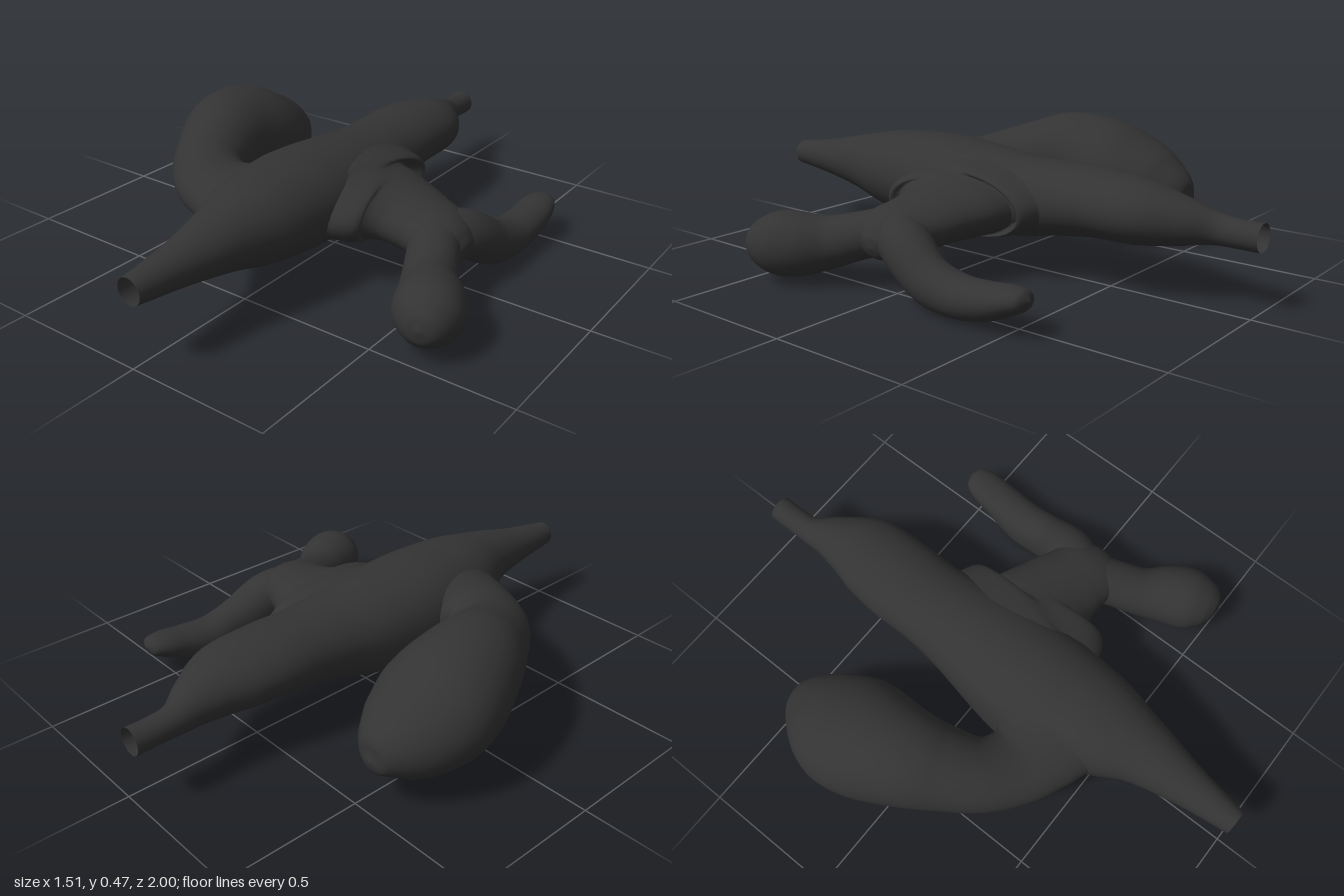
import * as THREE from 'three';

const darkGrey = new THREE.MeshStandardMaterial({ color: 0x333333, side: THREE.DoubleSide });
darkGrey.name = 'darkGrey';

// Lofts a smooth tube through oval rings: [x, y, z, half width, half height, keel].
// The keel pulls the lower corner of a ring outwards.
function loft(name, rings, steps, sides = 36) {
  const path = new THREE.CatmullRomCurve3(rings.map(r => new THREE.Vector3(r[0], r[1], r[2])));
  const size = new THREE.CatmullRomCurve3(
    rings.map(r => new THREE.Vector3(r[3], r[4], r[5] || 0)), false, 'catmullrom', 0.5);
  const up = new THREE.Vector3(0, 1, 0);
  const positions = [];
  const index = [];
  for (let i = 0; i <= steps; i++) {
    const t = i / steps;
    const centre = path.getPoint(t);
    const s = size.getPoint(t);
    const tangent = path.getTangent(t);
    const across = new THREE.Vector3().crossVectors(up, tangent).normalize();
    const above = new THREE.Vector3().crossVectors(tangent, across);
    for (let j = 0; j < sides; j++) {
      const a = (j / sides) * Math.PI * 2;
      const k = 1 + s.z * Math.exp(-(((a - Math.PI * 1.25) / 0.45) ** 2));
      const p = centre.clone()
        .addScaledVector(across, Math.cos(a) * Math.max(s.x, 0) * k)
        .addScaledVector(above, Math.sin(a) * Math.max(s.y, 0) * k);
      positions.push(p.x, p.y, p.z);
      if (i < steps) {
        const n = (j + 1) % sides;
        const r0 = i * sides, r1 = r0 + sides;
        index.push(r0 + j, r0 + n, r1 + j, r0 + n, r1 + n, r1 + j);
      }
    }
  }
  const geometry = new THREE.BufferGeometry();
  geometry.setAttribute('position', new THREE.Float32BufferAttribute(positions, 3));
  geometry.setIndex(index);
  geometry.computeVertexNormals();
  const mesh = new THREE.Mesh(geometry, darkGrey);
  mesh.name = name;
  return mesh;
}

export function createModel() {
  const model = new THREE.Group();
  model.name = 'branchingVessel';

  // Main trunk, open at both ends
  model.add(loft('trunk', [
    [-0.058, 0.252, -1, 0.047, 0.047],
    [-0.058, 0.252, -0.92, 0.047, 0.047],
    [-0.055, 0.256, -0.84, 0.052, 0.054],
    [-0.028, 0.268, -0.74, 0.092, 0.08],
    [-0.005, 0.28, -0.61, 0.143, 0.105],
    [-0.01, 0.285, -0.45, 0.158, 0.115],
    [-0.008, 0.275, -0.3, 0.158, 0.125],
    [0.0, 0.265, -0.15, 0.175, 0.14, 0.12],
    [0.0, 0.265, 0.0, 0.195, 0.155, 0.22],
    [-0.005, 0.27, 0.2, 0.205, 0.165, 0.32],
    [0.0, 0.275, 0.35, 0.19, 0.158, 0.3],
    [0.005, 0.28, 0.48, 0.168, 0.142, 0.16],
    [0.015, 0.285, 0.62, 0.12, 0.108],
    [0.015, 0.28, 0.8, 0.077, 0.073],
    [0.012, 0.275, 1, 0.046, 0.046],
  ], 84));

  // Curling right branch that swells into a large sac
  model.add(loft('largeSac', [
    [-0.06, 0.27, 0.315, 0.26, 0.13],
    [-0.14, 0.268, 0.32, 0.21, 0.115],
    [-0.21, 0.27, 0.322, 0.168, 0.1],
    [-0.29, 0.272, 0.305, 0.14, 0.097],
    [-0.39, 0.28, 0.235, 0.13, 0.12],
    [-0.46, 0.29, 0.11, 0.15, 0.155],
    [-0.505, 0.3, 0, 0.175, 0.175, 0.08],
    [-0.535, 0.275, -0.13, 0.205, 0.185, 0.22],
    [-0.548, 0.243, -0.24, 0.208, 0.168, 0.26],
    [-0.55, 0.215, -0.35, 0.168, 0.14, 0.2],
    [-0.55, 0.2, -0.43, 0.11, 0.095, 0.08],
    [-0.55, 0.19, -0.475, 0.055, 0.05],
    [-0.55, 0.19, -0.49, 0, 0],
  ], 72));

  // Left branch with a flared root
  model.add(loft('sideBranch', [
    [0.07, 0.262, 0.02, 0.38, 0.135],
    [0.14, 0.255, 0.02, 0.325, 0.128],
    [0.19, 0.247, 0.025, 0.27, 0.116],
    [0.24, 0.24, 0.015, 0.212, 0.105],
    [0.31, 0.23, 0.015, 0.168, 0.096],
    [0.4, 0.215, 0.03, 0.142, 0.09],
    [0.48, 0.2, 0.045, 0.13, 0.085],
    [0.54, 0.18, 0.045, 0.088, 0.065],
    [0.57, 0.172, 0.045, 0.045, 0.035],
    [0.578, 0.17, 0.045, 0, 0],
  ], 54));

  // Slender arm at the back, from its tip to its root
  model.add(loft('backArm', [
    [0.555, 0.128, -0.58, 0, 0],
    [0.555, 0.126, -0.562, 0.043, 0.03],
    [0.553, 0.115, -0.51, 0.065, 0.046],
    [0.552, 0.092, -0.42, 0.072, 0.06, 0.1],
    [0.545, 0.08, -0.3, 0.077, 0.07, 0.25],
    [0.542, 0.105, -0.18, 0.076, 0.08, 0.25],
    [0.505, 0.18, -0.05, 0.088, 0.085, 0.1],
    [0.44, 0.21, 0.06, 0.08, 0.08],
  ], 49, 28));

  // Short front arm ending in a small sac
  model.add(loft('smallSac', [
    [0.45, 0.21, 0.04, 0.09, 0.08],
    [0.505, 0.18, 0.15, 0.088, 0.08],
    [0.555, 0.15, 0.25, 0.092, 0.09],
    [0.615, 0.14, 0.34, 0.113, 0.11],
    [0.648, 0.14, 0.41, 0.113, 0.108],
    [0.668, 0.14, 0.47, 0.082, 0.078],
    [0.675, 0.14, 0.5, 0.045, 0.045],
    [0.677, 0.14, 0.511, 0, 0],
  ], 49, 28));

  return model;
}
